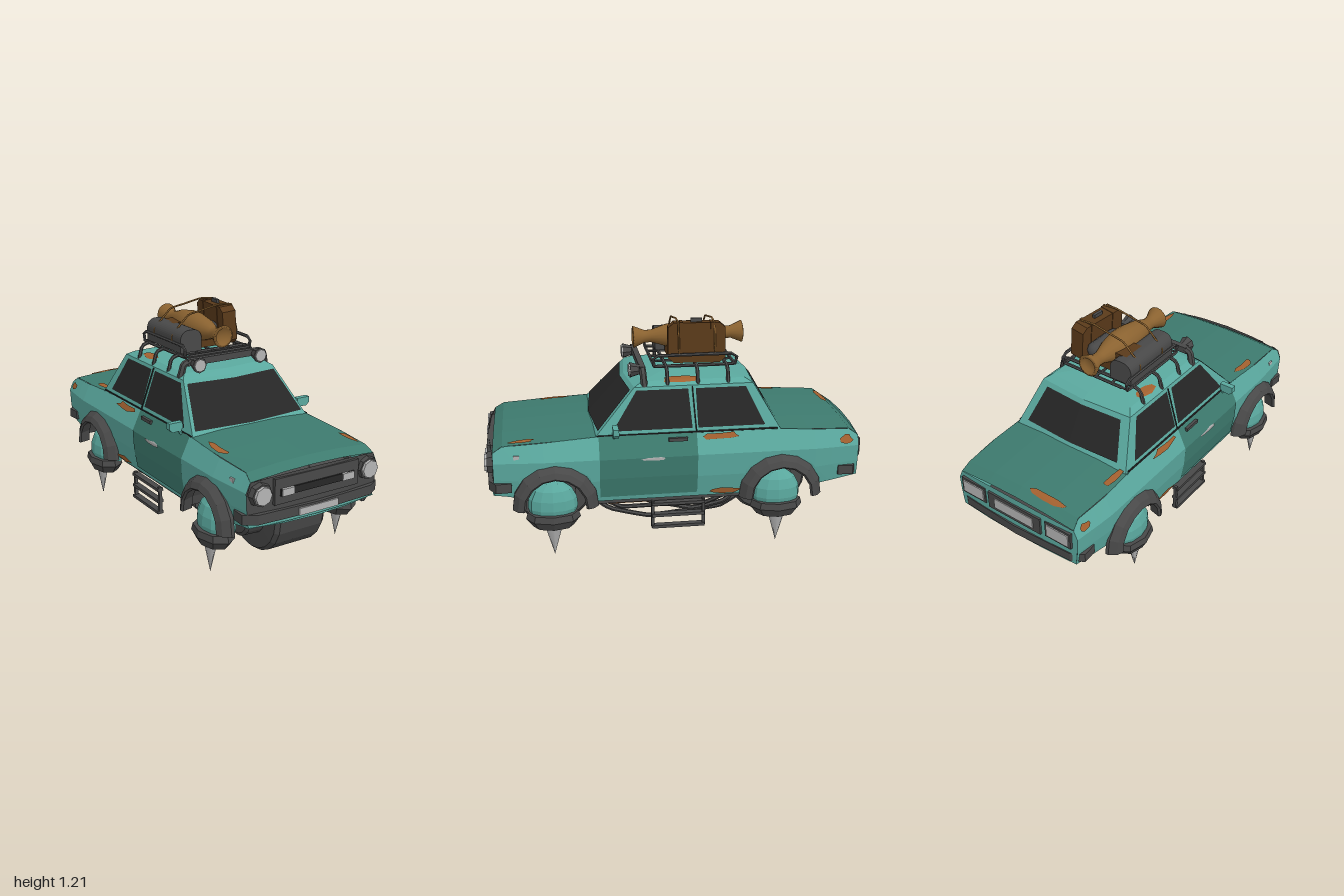
import * as THREE from 'three';

const V = (x, y, z) => new THREE.Vector3(x, y, z);
const mat = (color, flat = true) => new THREE.MeshStandardMaterial({ color, flatShading: flat, side: THREE.DoubleSide });
const TEAL = mat(0x5aa89e), GREEN = mat(0x3d7a6e), DARK = mat(0x484848), BLACK = mat(0x262626), PALE = mat(0xb4b4b4);
const RUST = mat(0xa2602f), BROWN = mat(0x5a3a1a), TAN = mat(0x8a6230, false), SILVER = mat(0xb0b0b0, false), SMOKE = mat(0x484848, false);

// piecewise linear lookup; keys ascending
function look(table, k) {
  if (k <= table[0][0]) return table[0][1];
  for (let i = 1; i < table.length; i++) {
    const [a, va] = table[i - 1], [b, vb] = table[i];
    if (k <= b) return va + (vb - va) * (k - a) / (b - a);
  }
  return table[table.length - 1][1];
}

// surface through a grid of points
function sheet(rows) {
  const n = rows[0].length, pos = [], idx = [];
  rows.forEach(r => r.forEach(p => pos.push(p.x, p.y, p.z)));
  for (let i = 0; i < rows.length - 1; i++) for (let j = 0; j < n - 1; j++) {
    const a = i * n + j, b = a + n;
    idx.push(a, b, a + 1, b, b + 1, a + 1);
  }
  const g = new THREE.BufferGeometry();
  g.setAttribute('position', new THREE.Float32BufferAttribute(pos, 3));
  g.setIndex(idx);
  g.computeVertexNormals();
  return g;
}
const range = (a, b, n) => Array.from({ length: n + 1 }, (_, i) => a + (b - a) * i / n);

// body shape rules
const ARCHES = [0.645, -0.54];
const taper = z => look([[-0.97, 0.94], [-0.75, 1], [0.7, 1], [0.95, 0.95]], z);
const sideX = (y, z) => taper(z) * look([[0.3, 0.38], [0.42, 0.405], [0.55, 0.412], [0.66, 0.36]], y);
const belt = z => look([[-0.97, 0.6], [-0.92, 0.635], [-0.55, 0.655], [0.4, 0.66], [0.9, 0.63], [0.95, 0.6]], z);
const deckY = (x, z) => belt(z) + 0.018 * (1 - (x / 0.37) ** 2);
function bottom(z) {
  let y = look([[-0.97, 0.38], [-0.73, 0.34], [-0.7, 0.31], [0.8, 0.31], [0.84, 0.36], [0.95, 0.37]], z);
  for (const c of ARCHES) {
    const d = Math.abs(z - c);
    if (d < 0.19) y = Math.max(y, 0.31 + Math.sqrt(0.19 ** 2 - d * d));
  }
  return y;
}
// cabin rules
const cabT = y => (y - 0.65) / 0.24;
const cabX = y => 0.357 - 0.075 * cabT(y);
const cabF = y => 0.43 - 0.215 * cabT(y);
const cabR = y => -0.55 + 0.14 * cabT(y);

export function createModel() {
  const root = new THREE.Group();
  const add = (name, geo, m, x = 0, y = 0, z = 0, parent = root) => {
    const o = new THREE.Mesh(geo, m);
    o.name = name;
    o.position.set(x, y, z);
    parent.add(o);
    return o;
  };
  const box = (name, m, w, h, d, x, y, z) => add(name, new THREE.BoxGeometry(w, h, d), m, x, y, z);
  const tube = (name, m, r, pts) => {
    const c = new THREE.CatmullRomCurve3(pts.map(p => V(...p)), false, 'catmullrom', 0.12);
    return add(name, new THREE.TubeGeometry(c, pts.length * 5, r, 6), m);
  };

  // body sides, door and underside
  const cut = c => range(-1, 1, 12).map(t => c - 0.19 * Math.sin(t * Math.PI / 2));
  const front = [0.95, 0.9, ...cut(ARCHES[0]), 0.41];
  const rear = [-0.1, -0.22, ...cut(ARCHES[1]), -0.82, -0.92, -0.97];
  for (const s of [1, -1]) {
    const panel = (name, zs, m, low, out = 0) => add(name, sheet(zs.map(z => {
      const b = low ?? bottom(z);
      return [b, (b + 0.55) / 2, 0.55, belt(z)].map(y => V(s * (sideX(y, z) + out), y, z));
    })), m);
    panel('frontFender', front, TEAL);
    panel('sill', [0.41, 0.15, -0.1], TEAL);
    panel('door', [0.41, 0.15, -0.1], GREEN, 0.335, 0.004);
    panel('rearFender', rear, TEAL);
  }
  const cols = [-1, -0.5, 0, 0.5, 1];
  add('underside', sheet([...front, ...rear].map(z => cols.map(c => V(c * sideX(bottom(z), z), bottom(z), z)))), DARK);
  box('floor', DARK, 0.7, 0.03, 0.78, 0, 0.295, 0.05);
  const deck = (name, zs) => add(name, sheet(zs.map(z => cols.map(c => {
    const x = c * sideX(belt(z), z);
    return V(x, deckY(x, z), z);
  }))), GREEN);
  deck('hood', [0.95, 0.9, 0.65, 0.35]);
  deck('trunk', [-0.45, -0.7, -0.92, -0.97]);
  const endCap = (name, ys, z, bulge, m) => add(name, sheet(ys.map(y => cols.map(c =>
    V(c * sideX(y, z), y + (y > 0.59 ? 0.018 * (1 - c * c) : 0), z + bulge * (1 - c * c))))), m);
  endCap('frontApron', [0.37, 0.42], 0.95, 0.025, TEAL);
  endCap('grillePanel', [0.42, 0.53, 0.6], 0.95, 0.025, DARK);
  endCap('rearPanel', [0.38, 0.48, 0.55, 0.6], -0.97, -0.015, TEAL);
  add('chinLip', sheet([[0.38, 0.375, 0.955], [0.34, 0.36, 0.86]].map(([w, y, z]) => cols.map(c =>
    V(c * w, y - 0.012 * (1 - c * c), z + 0.025 * (1 - c * c))))), TEAL);

  // cabin shell as stacked rings
  const ring = (y, k, f, r) => [[1, f], [0, f + 0.03], [-1, f], [-1, r], [0, r - 0.02], [1, r], [1, f]].map(([c, z]) =>
    V(c * k, y, z));
  add('cabin', sheet([ring(0.64, cabX(0.64), cabF(0.64), cabR(0.64)), ring(0.89, cabX(0.89), cabF(0.89), cabR(0.89)),
    ring(0.912, 0.25, 0.17, -0.37), ring(0.925, 0.1, 0.04, -0.2), ring(0.925, 0, -0.1, -0.1)]), TEAL);
  const ys = [0.68, 0.875];
  add('windshield', sheet(ys.map(y => [-1, 0, 1].map(c => V(c * (cabX(y) - 0.015), y, cabF(y) + 0.006 + (c ? 0.002 : 0.03))))), BLACK);
  add('rearWindow', sheet([0.69, 0.87].map(y => [-1, 0, 1].map(c => V(c * (cabX(y) - 0.05), y, cabR(y) - 0.006 - (c ? 0.004 : 0.02))))), BLACK);
  for (const s of [1, -1]) {
    const win = (name, lo, hi) => add(name, sheet(ys.map((y, i) => (i ? hi : lo).map(z => V(s * (cabX(y) + 0.004), y, z)))), BLACK);
    win('frontSideWindow', [0.335, -0.08], [0.205, -0.065]);
    win('rearSideWindow', [-0.11, -0.465], [-0.105, -0.37]);
    tube('doorPillarSeam', BLACK, 0.004, [[s * 0.36, 0.66, -0.1], [s * 0.285, 0.885, -0.088]]);
    tube('beltTrim', BLACK, 0.005, [[s * 0.36, 0.66, 0.42], [s * 0.36, 0.66, -0.53]]);
    box('doorHandle', DARK, 0.016, 0.018, 0.1, s * 0.383, 0.632, 0);
    // wing mirror with a bevelled outer housing
    tube('mirrorArm', TEAL, 0.009, [[s * 0.34, 0.63, 0.33], [s * 0.36, 0.645, 0.33], [s * 0.385, 0.685, 0.33]]);
    const glass = new THREE.Shape([[0.362, 0.718], [0.44, 0.718], [0.44, 0.685], [0.42, 0.668], [0.375, 0.672], [0.362, 0.685]]
      .map(([x, y]) => new THREE.Vector2(s * x, y)));
    add('mirror', new THREE.ExtrudeGeometry(glass, { depth: 0.03, bevelEnabled: false }), TEAL, 0, 0, 0.31);

    // headlight, tail light, side marker
    const lamp = add('headlightRim', new THREE.CylinderGeometry(0.056, 0.066, 0.05, 8), DARK, s * 0.32, 0.535, 0.955);
    const lens = add('headlight', new THREE.CylinderGeometry(0.046, 0.049, 0.02, 8), PALE, s * 0.32, 0.535, 0.983);
    lamp.rotation.x = lens.rotation.x = Math.PI / 2;
    box('tailLightFrame', DARK, 0.16, 0.095, 0.02, s * 0.275, 0.53, -0.976);
    box('tailLight', PALE, 0.135, 0.07, 0.02, s * 0.275, 0.53, -0.982);
    box('grilleLamp', PALE, 0.07, 0.036, 0.015, s * 0.18, 0.53, 0.987);
    box('sideMarker', PALE, 0.01, 0.025, 0.03, s * 0.388, 0.575, 0.83);

    // wheel arch flares and hover legs
    for (const c of ARCHES) {
      const prof = [[0.17, 0.39], [0.222, 0.39], [0.222, 0.408], [0.196, 0.445], [0.165, 0.46], [0.155, 0.45], [0.17, 0.39]];
      add('archFlare', sheet(range(-0.05, Math.PI + 0.05, 8).map(a => prof.map(([r, x]) =>
        V(s * x, 0.31 + r * Math.sin(a), c - 0.005 + r * Math.cos(a))))), DARK);
      const leg = new THREE.Group();
      leg.name = 'hoverLeg';
      leg.position.set(s * 0.382, 0, c + 0.01);
      leg.scale.x = 0.64;
      const dome = [[0.115, 0.24], [0.13, 0.29], [0.125, 0.34], [0.1, 0.39], [0.055, 0.425], [0, 0.435]];
      add('dome', new THREE.LatheGeometry(dome.map(p => new THREE.Vector2(...p)), 12), TEAL, -s * 0.03, 0, 0, leg);
      add('collar', new THREE.CylinderGeometry(0.132, 0.142, 0.035, 8), DARK, 0, 0.25, 0, leg);
      add('foot', new THREE.CylinderGeometry(0.14, 0.105, 0.045, 8), DARK, 0, 0.21, 0, leg);
      add('spike', new THREE.ConeGeometry(0.046, 0.165, 8).rotateX(Math.PI), SILVER, s * 0.024, 0.112, 0, leg);
      root.add(leg);
    }

    // boarding step below the door
    for (const z of [0.135, -0.135]) box('stepPost', DARK, 0.018, 0.15, 0.016, s * 0.385, 0.22, z);
    for (const y of [0.15, 0.215, 0.28]) box('stepRung', DARK, 0.035, 0.016, 0.28, s * 0.385, y, 0);
  }

  // grille, plates and bumpers
  box('grilleFrame', DARK, 0.5, 0.13, 0.03, 0, 0.535, 0.965);
  box('grille', BLACK, 0.44, 0.036, 0.012, 0, 0.53, 0.982);
  box('rearPlateFrame', DARK, 0.34, 0.1, 0.02, 0, 0.53, -0.983);
  box('rearPlate', PALE, 0.25, 0.06, 0.02, 0, 0.53, -0.988);
  box('frontPlate', PALE, 0.235, 0.036, 0.012, 0, 0.413, 0.994);
  const half = [[0.4, 0.86], [0.405, 0.94], [0.34, 0.978], [0, 0.995]], inner = [[0.34, 0.94], [0.375, 0.92], [0.375, 0.86]];
  const flip = list => list.slice().reverse().map(([x, z]) => [-x, z]);
  for (const s of [1, -1]) {
    const pts = [...half, ...flip(half.slice(0, 3)), ...flip(inner), ...inner];
    const shape = new THREE.Shape(pts.map(([x, z]) => new THREE.Vector2(x, -s * z)));
    add('bumper', new THREE.ExtrudeGeometry(shape, { depth: 0.05, bevelEnabled: false }).rotateX(-Math.PI / 2), DARK, 0, 0.392, 0);
  }

  // hover drums with stepped hubs
  const drum = [[0, -0.32], [0.045, -0.32], [0.045, -0.25], [0.105, -0.25], [0.122, -0.238], [0.125, -0.155], [0.205, -0.152], [0.222, -0.13]];
  const drumPts = [...drum, ...drum.slice().reverse().map(([r, x]) => [r, -x])].map(p => new THREE.Vector2(...p));
  for (const c of ARCHES) add('hoverDrum', new THREE.LatheGeometry(drumPts, 20).rotateZ(Math.PI / 2), DARK, 0, 0.312, c + 0.005);

  // pipes slung under the floor
  tube('lowPipe', DARK, 0.013, [[-0.06, 0.2, 0.5], [-0.05, 0.07, 0.33], [-0.04, 0.014, 0.1], [-0.03, 0.055, -0.3], [0, 0.13, -0.4]]);
  tube('midPipe', DARK, 0.013, [[-0.08, 0.25, 0.42], [-0.07, 0.15, 0.3], [-0.03, 0.05, -0.14], [0, 0.1, -0.33], [0, 0.2, -0.42]]);
  for (const s of [1, -1]) {
    tube('sidePipe', DARK, 0.012, [[s * 0.22, 0.27, 0.42], [s * 0.16, 0.17, 0.28], [s * 0.05, 0.12, 0.05], [s * 0.12, 0.15, -0.2], [s * 0.22, 0.27, -0.35]]);
    tube('crossPipe', DARK, 0.012, [[s * 0.25, 0.27, 0.2], [s * 0.12, 0.2, 0.05], [-s * 0.1, 0.19, -0.1], [-s * 0.22, 0.27, -0.24]]);
  }
  box('underBox', RUST, 0.16, 0.04, 0.22, 0.2, 0.265, 0.25);

  // roof rack and lamp bar
  for (const z of [0.04, -0.12, -0.28]) {
    tube('rackHoop', DARK, 0.01, [[-0.27, 0.885, z], [-0.25, 0.96, z], [-0.2, 0.975, z], [0.2, 0.975, z], [0.25, 0.96, z], [0.27, 0.885, z]]);
  }
  for (const x of [-0.1, 0, 0.1]) tube('rackSlat', DARK, 0.007, [[x, 0.975, 0.1], [x, 0.975, -0.32]]);
  for (const z of [0.1, -0.325]) tube('rackEnd', DARK, 0.009, [[-0.205, 0.975, z], [0.205, 0.975, z]]);
  for (const x of [-0.205, 0.205]) {
    tube('rackSide', DARK, 0.009, [[x, 0.975, 0.1], [x, 1.03, 0.1], [x, 1.03, -0.325], [x, 0.975, -0.325], [x, 0.975, 0.1]]);
  }
  box('lampBar', DARK, 0.46, 0.035, 0.03, 0, 0.965, 0.165);
  for (const s of [1, -1]) {
    tube('lampBarArm', DARK, 0.018, [[s * 0.22, 0.968, 0.165], [s * 0.25, 0.955, 0.165], [s * 0.268, 0.885, 0.16]]);
    const shell = add('roofLampShell', new THREE.CylinderGeometry(0.042, 0.025, 0.055, 8), DARK, s * 0.19, 0.958, 0.2);
    const lens = add('roofLamp', new THREE.CylinderGeometry(0.034, 0.034, 0.01, 8), PALE, s * 0.19, 0.958, 0.23);
    shell.rotation.x = lens.rotation.x = Math.PI / 2;
  }

  // luggage
  const urn = [[0, -0.28], [0.035, -0.28], [0.045, -0.3], [0.06, -0.295], [0.034, -0.235], [0.034, -0.2], [0.06, -0.12], [0.074, -0.04],
    [0.074, 0.03], [0.06, 0.12], [0.034, 0.2], [0.034, 0.235], [0.06, 0.295], [0.045, 0.3], [0.035, 0.28], [0, 0.28]];
  const vase = add('vase', new THREE.LatheGeometry(urn.map(p => new THREE.Vector2(...p)), 16).rotateX(Math.PI / 2), TAN, -0.02, 1.085, -0.11);
  vase.rotation.x = 0.02;
  const trunk = new THREE.Group();
  trunk.name = 'suitcase';
  trunk.position.set(0.143, 1.085, -0.13);
  trunk.rotation.set(0, -0.08, 0.08);
  const cs = new THREE.Shape([[-0.15, -0.08], [-0.12, -0.105], [0.12, -0.105], [0.15, -0.08], [0.15, 0.08], [0.12, 0.105], [-0.12, 0.105], [-0.15, 0.08]]
    .map(p => new THREE.Vector2(...p)));
  add('suitcaseBody', new THREE.ExtrudeGeometry(cs, { depth: 0.08, bevelEnabled: false }).translate(0, 0, -0.04).rotateY(Math.PI / 2), BROWN, 0, 0, 0, trunk);
  add('suitcaseHandle', new THREE.BoxGeometry(0.016, 0.02, 0.06), DARK, 0, 0.115, 0, trunk);
  for (const z of [-0.08, 0.08]) add('suitcaseStrap', new THREE.BoxGeometry(0.086, 0.215, 0.016), BROWN, 0, 0, z, trunk);
  root.add(trunk);
  box('flatCase', BROWN, 0.16, 0.05, 0.26, 0.02, 1.01, -0.12);
  box('smallCase', BROWN, 0.08, 0.05, 0.13, -0.1, 1.08, -0.185);
  const roll = new THREE.Shape().moveTo(-0.065, 0).lineTo(0.065, 0).lineTo(0.065, 0.07).absarc(0.015, 0.07, 0.05, 0, Math.PI / 2)
    .lineTo(-0.015, 0.12).absarc(-0.015, 0.07, 0.05, Math.PI / 2, Math.PI);
  add('bedroll', new THREE.ExtrudeGeometry(roll, { depth: 0.36, bevelEnabled: false, curveSegments: 4 }), SMOKE, -0.14, 0.985, -0.3);
  add('sack', new THREE.CapsuleGeometry(0.04, 0.16, 4, 10).rotateX(Math.PI / 2), SMOKE, 0.07, 1.065, -0.16);
  for (const z of [-0.03, -0.22]) {
    tube('rope', TAN, 0.005, [[-0.205, 1.03, z], [-0.2, 1.07, z], [-0.1, 1.165, z], [-0.02, 1.18, z], [0.09, 1.2, z], [0.175, 1.19, z], [0.21, 1.04, z]]);
  }

  // ragged rust and bare-metal patches laid on the skin
  let seed = 7;
  const rnd = () => (seed = (seed * 16807) % 2147483647) / 2147483647;
  const patch = (name, f, u, v, ru, rv, m = RUST) => {
    const rim = range(0, 2 * Math.PI, 9).map(a => [a, 0.6 + 0.5 * rnd()]);
    rim[9][1] = rim[0][1];
    add(name, sheet([0, 0.5, 1].map(k => rim.map(([a, r]) => f(u + k * r * ru * Math.cos(a), v + k * r * rv * Math.sin(a))))), m);
  };
  const onDeck = (x, z) => V(x, deckY(x, z) + 0.005, z);
  const onRoof = (x, z) => V(x, look([[0, 0.929], [0.1, 0.928], [0.25, 0.916], [0.282, 0.895]], Math.abs(x)), z);
  for (const [x, z, a, b] of [[-0.33, 0.62, 0.025, 0.1], [0.33, 0.8, 0.02, 0.08], [-0.16, -0.91, 0.11, 0.025], [-0.33, -0.6, 0.025, 0.1]])
    patch('deckRust', onDeck, x, z, a, b);
  patch('roofRust', onRoof, 0.235, -0.03, 0.035, 0.13);
  patch('roofRust', onRoof, -0.23, -0.22, 0.04, 0.08);
  patch('undersideRust', (x, z) => V(x, bottom(z) - 0.006, z), 0.12, -0.85, 0.13, 0.05);
  for (const s of [1, -1]) {
    const onSide = (z, y) => V(s * (sideX(y, z) + 0.008), y, z);
    patch('sillRust', onSide, -0.25, 0.335, 0.1, 0.02);
    patch('beltRust', onSide, -0.24, 0.638, 0.11, 0.02);
    patch('fenderRust', onSide, -0.9, 0.59, 0.04, 0.025);
    patch('doorScuff', onSide, 0.12, 0.545, 0.08, 0.012, PALE);
  }
  return root;
}
